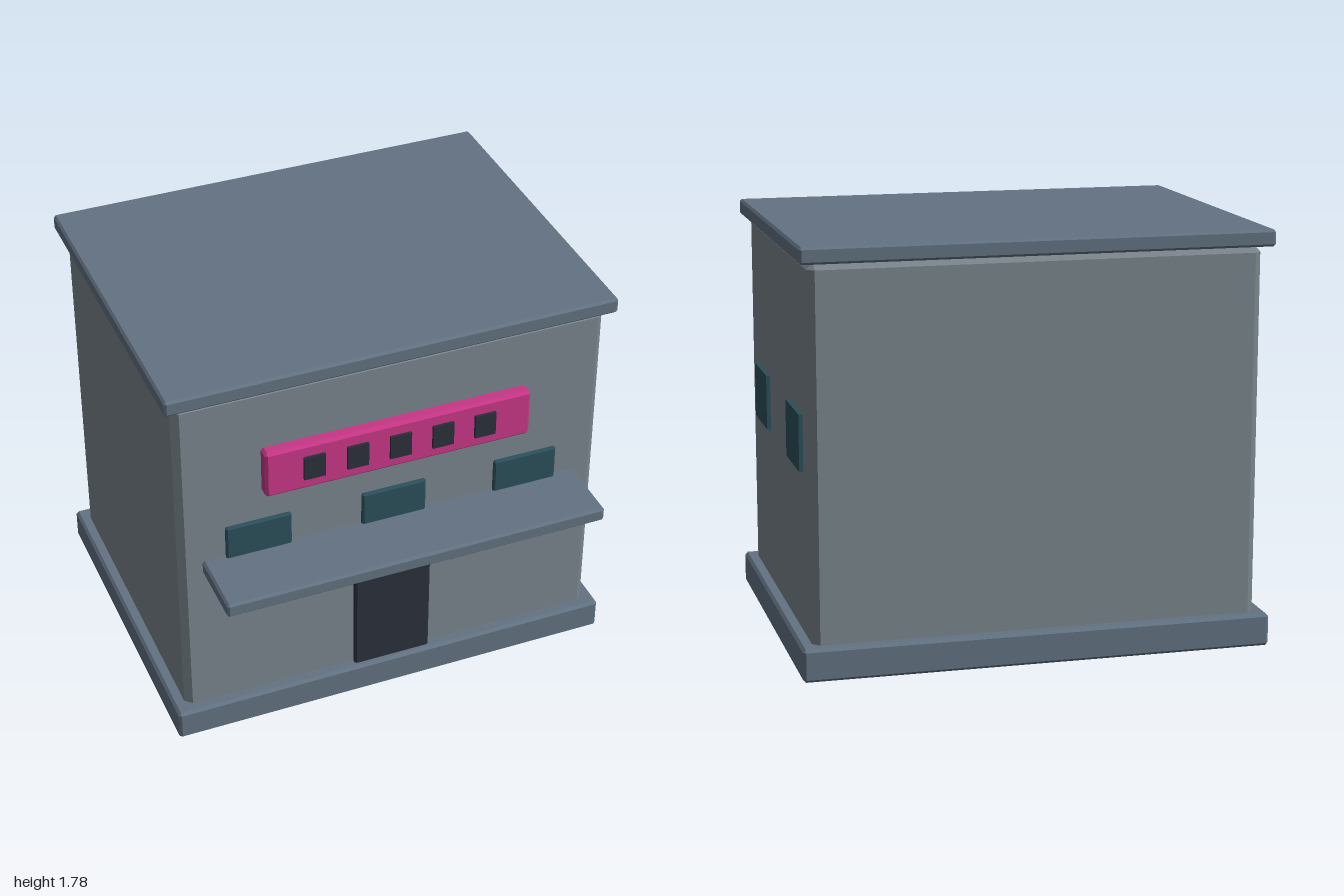
import * as THREE from 'three';
import { ConvexGeometry } from 'three/addons/geometries/ConvexGeometry.js';

const material = (color) => new THREE.MeshStandardMaterial({ color, flatShading: true });

// Box between two corners with every edge chamfered by c
function chamferBox([x0, x1], [y0, y1], [z0, z1], c) {
  const half = [(x1 - x0) / 2, (y1 - y0) / 2, (z1 - z0) / 2];
  const points = [];
  for (const sx of [-1, 1]) for (const sy of [-1, 1]) for (const sz of [-1, 1]) {
    for (let axis = 0; axis < 3; axis++) {
      const p = half.map((h, i) => (i === axis ? h : h - c));
      points.push(new THREE.Vector3(sx * p[0], sy * p[1], sz * p[2]));
    }
  }
  return new ConvexGeometry(points);
}

export function createModel() {
  const group = new THREE.Group();
  const trim = material(0x627282);
  const wall = material(0x78848b);
  const pink = material(0xc73685);
  const dark = material(0x2a2f3a);
  const glass = material(0x2a4f5b);
  const cyan = material(0x40c0c8);

  function add(name, mat, x, y, z, chamfer = 0) {
    const geometry = chamfer
      ? chamferBox(x, y, z, chamfer)
      : new THREE.BoxGeometry(x[1] - x[0], y[1] - y[0], z[1] - z[0]);
    const mesh = new THREE.Mesh(geometry, mat);
    mesh.name = name;
    mesh.position.set((x[0] + x[1]) / 2, (y[0] + y[1]) / 2, (z[0] + z[1]) / 2);
    group.add(mesh);
  }
  const span = (centre, width) => [centre - width / 2, centre + width / 2];

  // Main masses
  add('base', trim, [-1, 1], [0, 0.14], [-0.89, 0.63], 0.012);
  add('walls', wall, [-0.95, 0.95], [0.005, 1.71], [-0.84, 0.58], 0.03);
  add('roof', trim, [-0.99, 0.99], [1.71, 1.78], [-0.89, 0.62], 0.01);
  add('awning', trim, [-0.85, 0.85], [0.85, 0.915], [0.575, 0.89], 0.01);

  // Entrance
  add('door', dark, [-0.175, 0.175], [0.13, 0.68], [0.575, 0.605], 0.008);
  add('doorLight', cyan, [-0.2, 0.2], [0.69, 0.72], [0.597, 0.62]);

  // Front windows with glowing sills
  for (const x of [-0.605, 0, 0.605]) {
    add('frontWindow', glass, span(x, 0.29), [0.83, 1.07], [0.582, 0.605], 0.008);
    add('windowSill', cyan, span(x, 0.27), [0.836, 0.852], [0.59, 0.612]);
  }

  // Windows on the left wall
  for (const z of [0.268, -0.528]) {
    add('sideWindow', glass, [0.945, 0.967], [0.83, 1.07], span(z, 0.305));
  }

  // Sign with a row of dark panels
  add('signBoard', pink, [-0.59, 0.59], [1.22, 1.44], [0.59, 0.655], 0.012);
  for (let i = -2; i <= 2; i++) {
    add('signPanel', dark, span(i * 0.19, 0.094), [1.275, 1.385], [0.645, 0.667]);
  }
  return group;
}
